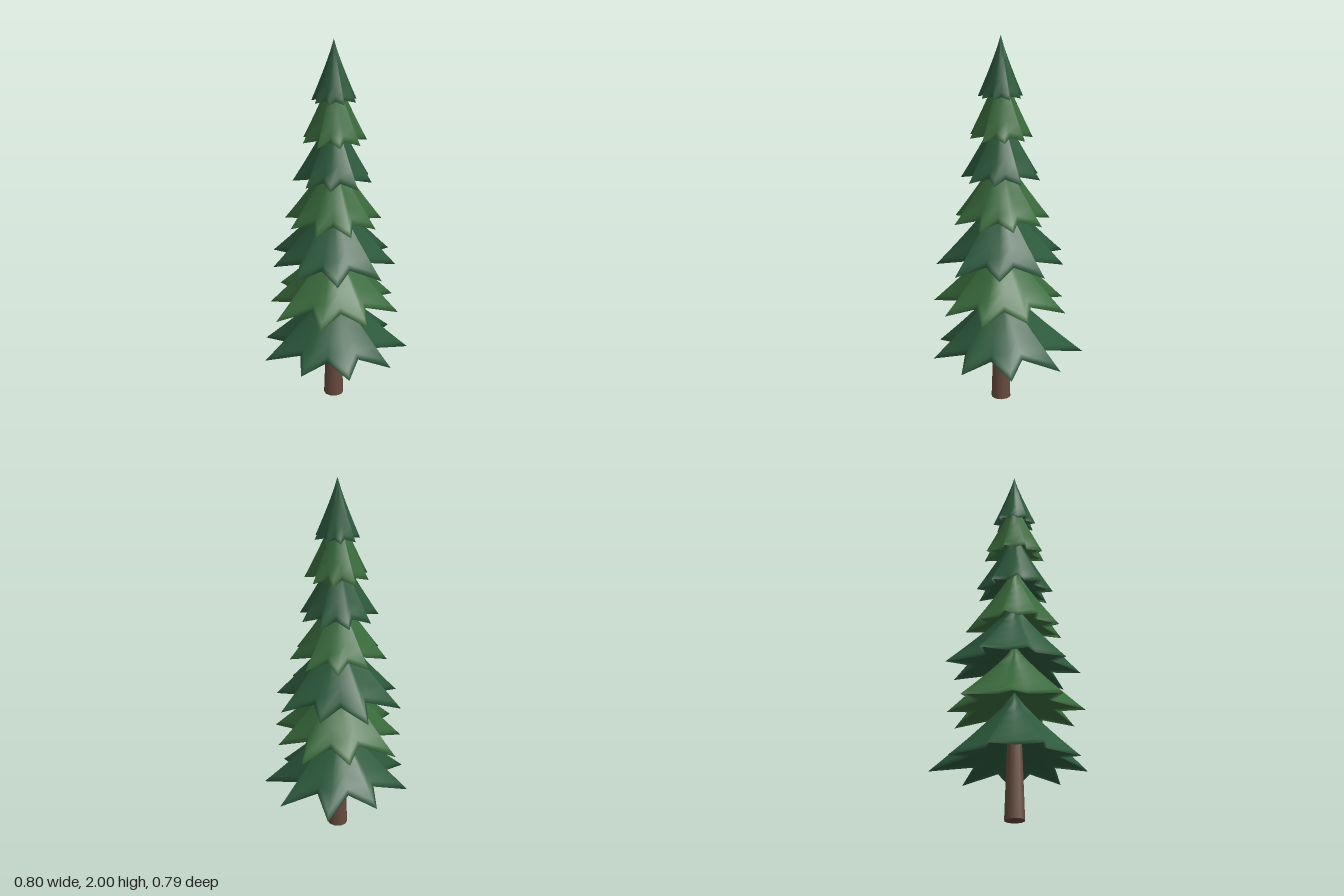
import * as THREE from 'three';

const SPIKES = 9;
// Heights of the outer rings as fractions of a tier; the second ring is close to the rim to round it
const LEVELS = [0, 0.08, 0.25, 0.42, 0.6, 0.8];

// Tiers from bottom to top: base height, apex height, angle of first tip, tip radii
const wobble = (r, k) => Array.from({ length: SPIKES }, (_, i) => r * (1 + 0.03 * Math.cos(i * 2.3 + k * 1.7)));
const TIERS = [
  { y: 0.275, top: 0.68, phase: 14, tips: [0.408, 0.386, 0.382, 0.371, 0.402, 0.4, 0.38, 0.448, 0.425] },
  { y: 0.555, top: 0.95, phase: -3, tips: [0.342, 0.368, 0.359, 0.369, 0.392, 0.345, 0.398, 0.349, 0.378] },
  { y: 0.795, top: 1.2, phase: 23, tips: [0.333, 0.36, 0.348, 0.332, 0.33, 0.371, 0.383, 0.34, 0.361] },
  { y: 1.03, top: 1.42, phase: 7, tips: wobble(0.258, 1) },
  { y: 1.26, top: 1.65, phase: 31, tips: wobble(0.21, 2) },
  { y: 1.475, top: 1.86, phase: 15, tips: wobble(0.17, 3) },
  { y: 1.685, top: 2.0, phase: 39, tips: wobble(0.118, 4) },
];

// Star-shaped cone with drooping tips, raised notches and a shallow hollow underside
function tierGeometry({ y, top, phase, tips }) {
  const n = SPIKES * 2;
  const mean = tips.reduce((a, b) => a + b) / SPIKES;
  const height = top - y;
  const pos = [];
  const index = [];
  const ring = (shrink, lift) => {
    for (let i = 0; i < n; i++) {
      const notch = i % 2 === 1;
      const r = (notch ? mean * 0.61 : tips[i / 2]) * shrink;
      const a = THREE.MathUtils.degToRad(phase + i * 180 / SPIKES);
      const h = y + lift + (notch ? mean * 0.09 * shrink : 0);
      pos.push(r * Math.cos(a), h, r * Math.sin(a));
    }
  };

  // Underside ring just inside the rim, then the outer rings, then the two centres
  ring(0.9, height * 0.038);
  LEVELS.forEach((t) => ring(Math.pow(1 - t, 1.15), height * t));
  const apex = pos.length / 3;
  pos.push(0, top, 0, 0, y + height * 0.38, 0);

  for (let j = 0; j <= LEVELS.length; j++) {
    for (let i = 0; i < n; i++) {
      const a = j * n + i;
      const b = j * n + (i + 1) % n;
      if (j === LEVELS.length) index.push(a, apex, b);
      else index.push(a, a + n, b, b, a + n, b + n);
      if (j === 0) index.push(a, b, apex + 1);
    }
  }
  const geo = new THREE.BufferGeometry();
  geo.setAttribute('position', new THREE.Float32BufferAttribute(pos, 3));
  geo.setIndex(index);
  geo.computeVertexNormals();
  return geo;
}

export function createModel() {
  const tree = new THREE.Group();
  tree.name = 'firTree';

  // Tapered trunk reaching up into the lowest tier
  const trunk = new THREE.Mesh(
    new THREE.CylinderGeometry(0.034, 0.054, 0.56, 10),
    new THREE.MeshStandardMaterial({ color: 0x664a3c }),
  );
  trunk.name = 'trunk';
  trunk.position.y = 0.28;
  tree.add(trunk);

  // Foliage tiers in two alternating greens
  const greens = [0x2d5a3d, 0x3a6b3c].map((color) => new THREE.MeshStandardMaterial({ color }));
  TIERS.forEach((tier, k) => {
    const mesh = new THREE.Mesh(tierGeometry(tier), greens[k % 2]);
    mesh.name = `foliageTier${k + 1}`;
    tree.add(mesh);
  });

  // The trunk axis sits slightly forward of the centre of the foliage
  tree.children.forEach((part) => { part.position.z = 0.014; });
  return tree;
}
